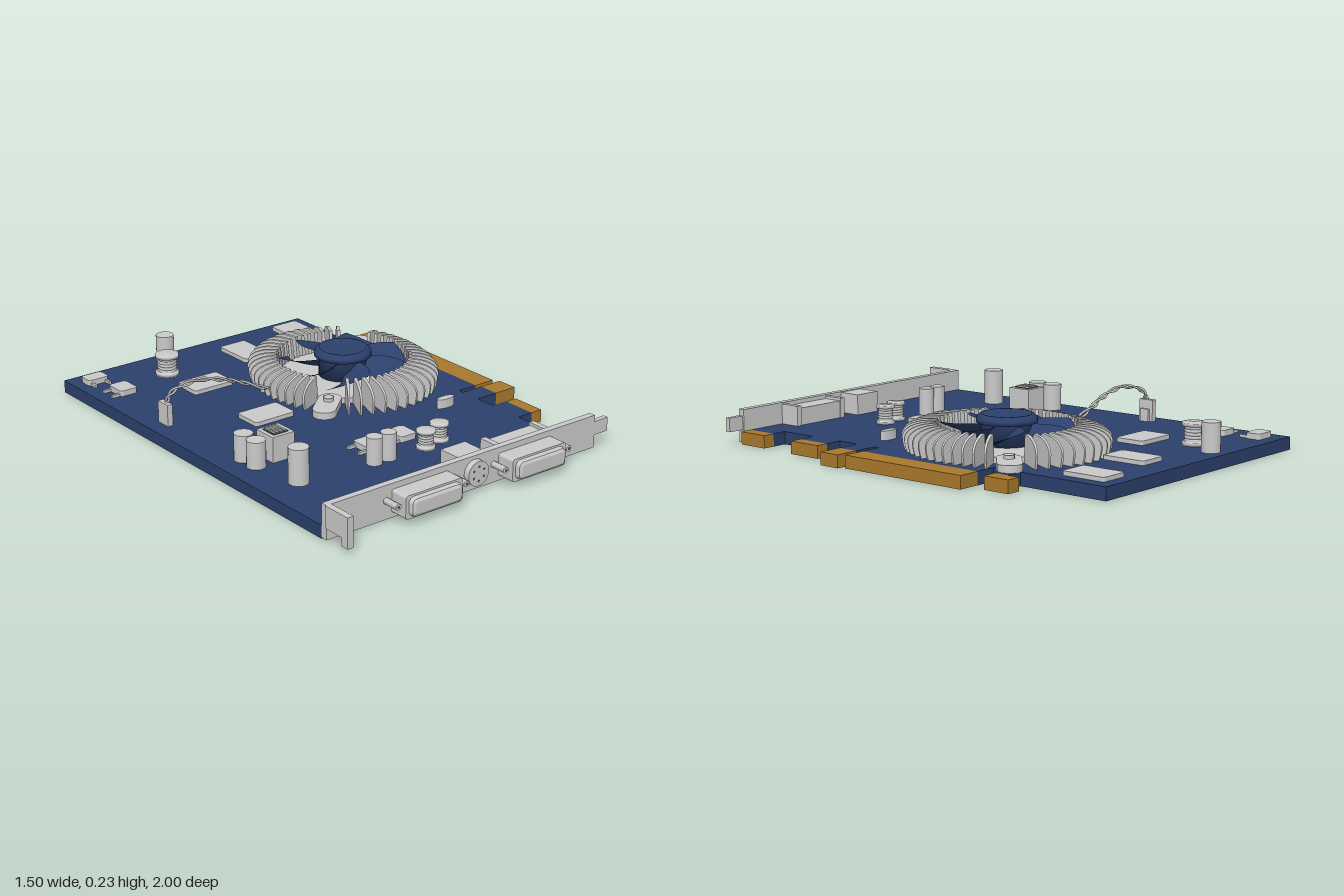
import * as THREE from 'three';

const mat = (name, color) => Object.assign(new THREE.MeshStandardMaterial({ color }), { name });

export function createModel() {
  const root = new THREE.Group();
  root.name = 'expansionCard';
  const blue = mat('board blue', 0x2b406c);
  const grey = mat('metal grey', 0xcacaca);
  const gold = mat('contact gold', 0xa8792c);
  const bladeBlue = blue.clone();
  bladeBlue.name = 'fan blue';
  bladeBlue.side = THREE.DoubleSide;
  const dark = mat('slot dark', 0x4a4a4a);
  const TOP = 0.055;

  const add = (name, geo, m, x = 0, y = 0, z = 0, parent = root) => {
    const mesh = new THREE.Mesh(geo, m);
    mesh.name = name;
    mesh.position.set(x, y, z);
    parent.add(mesh);
    return mesh;
  };
  // Box given by its limits on each axis
  const box = (name, m, x0, x1, y0, y1, z0, z1, parent) =>
    add(name, new THREE.BoxGeometry(x1 - x0, y1 - y0, z1 - z0), m,
      (x0 + x1) / 2, (y0 + y1) / 2, (z0 + z1) / 2, parent);
  // Upright cylinder standing at y0
  const post = (name, m, x, z, r, y0, y1, parent, sides = 20) =>
    add(name, new THREE.CylinderGeometry(r, r, y1 - y0, sides), m, x, (y0 + y1) / 2, z, parent);
  const roundedShape = (w, h, r) => {
    const s = new THREE.Shape(), a = w / 2, b = h / 2;
    s.absarc(a - r, b - r, r, 0, Math.PI / 2);
    s.absarc(-a + r, b - r, r, Math.PI / 2, Math.PI);
    s.absarc(-a + r, -b + r, r, Math.PI, Math.PI * 1.5);
    s.absarc(a - r, -b + r, r, Math.PI * 1.5, Math.PI * 2);
    s.closePath();
    return s;
  };
  const extrude = (shape, depth) =>
    new THREE.ExtrudeGeometry(shape, { depth, bevelEnabled: false, curveSegments: 5 });
  // Flat slab with rounded corners lying on the board
  const slab = (name, m, x, z, w, d, r, y0, h, parent) =>
    add(name, extrude(roundedShape(w, d, r), h).rotateX(-Math.PI / 2), m, x, y0, z, parent);

  // Circuit board with edge tabs: [z0, z1, blue end, gold z0, gold end]
  const tabs = [
    [-0.59, -0.525, 0.61, -0.645, 0.675],
    [-0.455, 0.155, 0.63, -0.455, 0.73],
    [0.18, 0.275, 0.64, 0.18, 0.748],
    [0.375, 0.53, 0.61, 0.375, 0.665],
    [0.7, 0.838, 0.6, 0.7, 0.655],
  ];
  const outline = [[-0.745, -1], [0.535, -1]];
  for (const [z0, z1, x1, gz, gx] of tabs) {
    outline.push([0.535, z0], [x1, z0], [x1, z1], [0.535, z1]);
    box('edgeContact', gold, x1, gx, 0, TOP, gz, z1);
  }
  outline.push([-0.745, 0.838]);
  const boardShape = new THREE.Shape(outline.map(([x, z]) => new THREE.Vector2(x, -z)));
  add('circuitBoard', extrude(boardShape, TOP).rotateX(-Math.PI / 2), blue);

  // Mounting bracket with its bent flange and end tongue
  box('bracketPlate', grey, -0.745, 0.64, 0.005, 0.148, 0.838, 0.868);
  box('bracketTongue', grey, 0.64, 0.715, 0.06, 0.12, 0.845, 0.868);
  box('bracketFlange', grey, -0.75, -0.722, 0.055, 0.148, 0.866, 1);
  box('flangeHook', grey, -0.75, -0.722, 0.02, 0.055, 0.965, 1);

  // Video sockets with side screws
  for (const cx of [-0.29, 0.255]) {
    const socket = new THREE.Group();
    socket.name = 'videoSocket';
    socket.position.set(cx, 0.074, 0.866);
    root.add(socket);
    add('socketShell', extrude(roundedShape(0.285, 0.098, 0.012), 0.085), grey, 0, 0, 0, socket);
    const plug = new THREE.ExtrudeGeometry(roundedShape(0.225, 0.05, 0.01),
      { depth: 0.001, bevelThickness: 0.022, bevelSize: 0.016, bevelSegments: 2 });
    add('socketNose', plug, grey, 0, 0, 0.087, socket);
    for (const s of [-1, 1]) {
      const nut = new THREE.CylinderGeometry(0.015, 0.015, 0.075, 6).rotateX(Math.PI / 2);
      add('socketScrew', nut, grey, s * 0.17, 0.01, 0.038, socket);
      add('screwHole', new THREE.CircleGeometry(0.007, 10), dark, s * 0.17, 0.01, 0.077, socket);
    }
  }
  // Round socket
  add('roundSocket', new THREE.CylinderGeometry(0.053, 0.053, 0.03, 24).rotateX(Math.PI / 2),
    grey, -0.015, 0.08, 0.88);
  for (let i = 0; i < 6; i++) {
    const a = (i / 6) * Math.PI * 2 + 0.5;
    add('roundSocketPin', new THREE.CircleGeometry(0.006, 8), dark,
      -0.015 + Math.cos(a) * 0.03, 0.08 + Math.sin(a) * 0.03, 0.896);
  }
  // Socket housings behind the bracket
  box('roundSocketHousing', grey, -0.075, 0.052, TOP, 0.145, 0.735, 0.838);
  box('videoSocketHousing', grey, 0.14, 0.41, TOP, 0.13, 0.75, 0.838);
  for (const x of [0.125, 0.39]) box('housingClip', grey, x, x + 0.025, TOP, 0.142, 0.745, 0.838);

  // Cooler: base, ears, radial fins and fan
  const cooler = new THREE.Group();
  cooler.name = 'cooler';
  cooler.position.set(0.225, 0, -0.265);
  root.add(cooler);
  post('coolerBase', grey, 0, 0, 0.285, TOP, 0.08, cooler, 40);
  const earAngle = -0.72;
  for (const k of [0, Math.PI]) {
    const ear = new THREE.Group();
    ear.name = 'mountingEar';
    ear.rotation.y = -(earAngle + k);
    cooler.add(ear);
    slab('earPlate', grey, 0.36, 0, 0.22, 0.1, 0.049, TOP, 0.03, ear);
    post('earScrew', grey, 0.328, 0, 0.022, 0.08, 0.1, ear, 14);
    add('earScrewRing', new THREE.RingGeometry(0.019, 0.024, 16).rotateX(-Math.PI / 2),
      dark, 0.328, 0.101, 0, ear);
  }
  const FINS = 52;
  for (let i = 0; i < FINS; i++) {
    const a = (i / FINS) * Math.PI * 2;
    if (Math.abs(Math.sin(a - earAngle)) < 0.15) continue;
    const R = 0.395 + 0.05 * Math.sin(a) ** 2;
    const s = new THREE.Shape();
    s.moveTo(0.275, TOP);
    s.lineTo(R - 0.012, TOP);
    s.quadraticCurveTo(R, 0.085, R, 0.115);
    s.quadraticCurveTo(R - 0.008, 0.155, R - 0.08, 0.168);
    s.lineTo(0.288, 0.172);
    s.closePath();
    const fin = add('coolingFin', extrude(s, 0.016).translate(0, 0, -0.008), grey, 0, 0, 0, cooler);
    // Thin the blade toward its outer edge
    const p = fin.geometry.attributes.position;
    for (let j = 0; j < p.count; j++)
      p.setZ(j, p.getZ(j) * (1 - 0.45 * (p.getX(j) - 0.275) / (R - 0.275)));
    fin.geometry.computeVertexNormals();
    fin.rotation.y = -a;
  }

  // Fan hub and pitched, swept blades
  const hub = [[0, 0.08], [0.105, 0.08], [0.105, 0.165], [0.125, 0.17], [0.125, 0.188],
    [0.108, 0.205], [0.1, 0.205], [0.098, 0.201], [0, 0.201]];
  add('fanHub', new THREE.LatheGeometry(hub.map(([x, y]) => new THREE.Vector2(x, y)), 36),
    blue, 0, 0, 0, cooler);
  const BLADES = 7, NU = 6, NV = 6;
  const bladeGeo = new THREE.PlaneGeometry(1, 1, NU, NV);
  const bp = bladeGeo.attributes.position;
  for (let j = 0; j < bp.count; j++) {
    const u = bp.getX(j) + 0.5, v = bp.getY(j) + 0.5;
    const r = 0.1 + 0.178 * v;
    const a = u * 0.68 + 0.3 * v * v;
    bp.setXYZ(j, r * Math.cos(a), 0.166 - 0.06 * u, r * Math.sin(a));
  }
  bladeGeo.computeVertexNormals();
  // Keep the lit normals on the upper side
  if (bladeGeo.attributes.normal.getY(0) < 0) {
    const ix = bladeGeo.index;
    for (let j = 0; j < ix.count; j += 3) {
      const t = ix.getX(j);
      ix.setX(j, ix.getX(j + 1));
      ix.setX(j + 1, t);
    }
    bladeGeo.computeVertexNormals();
  }
  for (let i = 0; i < BLADES; i++)
    add('fanBlade', bladeGeo, bladeBlue, 0, 0, 0, cooler).rotation.y = (i / BLADES) * Math.PI * 2 + 0.25;

  // Memory chips: x, z, width, depth
  for (const [x, z, w, d] of [[0.068, -0.78, 0.135, 0.2], [0.408, -0.845, 0.135, 0.2],
    [-0.29, -0.572, 0.2, 0.135], [-0.29, -0.13, 0.2, 0.135]])
    slab('memoryChip', grey, x, z, w, d, 0.012, TOP, 0.018);

  // Capacitors: x, z, radius, top
  for (const [x, z, r, y] of [[-0.265, -0.925, 0.04, 0.18], [-0.62, 0.17, 0.04, 0.17],
    [-0.62, 0.255, 0.04, 0.17], [-0.58, 0.48, 0.042, 0.207],
    [-0.235, 0.52, 0.033, 0.172], [-0.163, 0.52, 0.033, 0.172]])
    post('capacitor', grey, x, z, r, TOP, y);

  // Wound coils: x, z, radius, top
  for (const [x, z, r, y] of [[-0.345, -0.79, 0.052, 0.15], [0.025, 0.53, 0.04, 0.135],
    [0.118, 0.505, 0.04, 0.135]]) {
    const h = y - TOP, pts = [[0, 0], [r, 0], [r, h * 0.15]];
    for (let k = 0; k < 5; k++) {
      const t = h * (0.15 + k * 0.14);
      pts.push([r * 0.72, t], [r * 0.84, t + h * 0.07], [r * 0.72, t + h * 0.14]);
    }
    pts.push([r, h * 0.85], [r, h], [0, h]);
    add('coil', new THREE.LatheGeometry(pts.map(([a, b]) => new THREE.Vector2(a, b)), 18),
      grey, x, TOP, z);
  }

  // Transistors with legs: x, z, depth
  for (const [x, z, d] of [[-0.62, -0.735, 0.1], [-0.165, 0.385, 0.1], [0.008, 0.385, 0.1]]) {
    slab('transistor', grey, x + 0.01, z, 0.085, d, 0.015, TOP, 0.025);
    for (const s of [-1, 1])
      box('transistorLeg', grey, x - 0.07, x - 0.03, TOP, TOP + 0.012, z + s * 0.035 - 0.006, z + s * 0.035 + 0.006);
  }
  slab('transistor', grey, -0.645, -0.908, 0.1, 0.07, 0.015, TOP, 0.025);
  for (const s of [-1, 1])
    box('transistorLeg', grey, -0.645 + s * 0.035 - 0.006, -0.645 + s * 0.035 + 0.006, TOP, TOP + 0.012, -0.88, -0.84);

  // Oval crystal
  add('crystal', new THREE.CylinderGeometry(1, 1, 0.04, 20), grey, 0.373, TOP + 0.02, 0.25)
    .scale.set(0.045, 1, 0.018);

  // Square choke with a slotted top
  box('choke', grey, -0.552, -0.445, TOP, 0.165, 0.165, 0.275);
  box('chokeRecess', dark, -0.535, -0.462, 0.165, 0.168, 0.182, 0.258);
  for (let i = 0; i < 4; i++)
    box('chokeWinding', grey, -0.528 + i * 0.017, -0.52 + i * 0.017, 0.165, 0.174, 0.186, 0.254);

  // Fan plug and its twisted pair of wires
  box('fanPlug', grey, -0.675, -0.65, TOP, 0.15, -0.36, -0.29);
  box('fanPlugKey', grey, -0.65, -0.638, TOP, 0.11, -0.345, -0.305);
  const route = new THREE.CatmullRomCurve3([[-0.66, 0.14, -0.325], [-0.63, 0.19, -0.32],
    [-0.52, 0.22, -0.3], [-0.4, 0.198, -0.29], [-0.29, 0.155, -0.295], [-0.16, 0.1, -0.28],
    [-0.04, 0.075, -0.275]].map((p) => new THREE.Vector3(...p)));
  for (const phase of [0, Math.PI]) {
    const pts = [];
    for (let i = 0; i <= 40; i++) {
      const a = i * 0.8 + phase;
      pts.push(route.getPoint(i / 40).add(new THREE.Vector3(0, Math.cos(a) * 0.006, Math.sin(a) * 0.01)));
    }
    add('fanWire', new THREE.TubeGeometry(new THREE.CatmullRomCurve3(pts), 80, 0.005, 6), grey);
  }
  return root;
}
